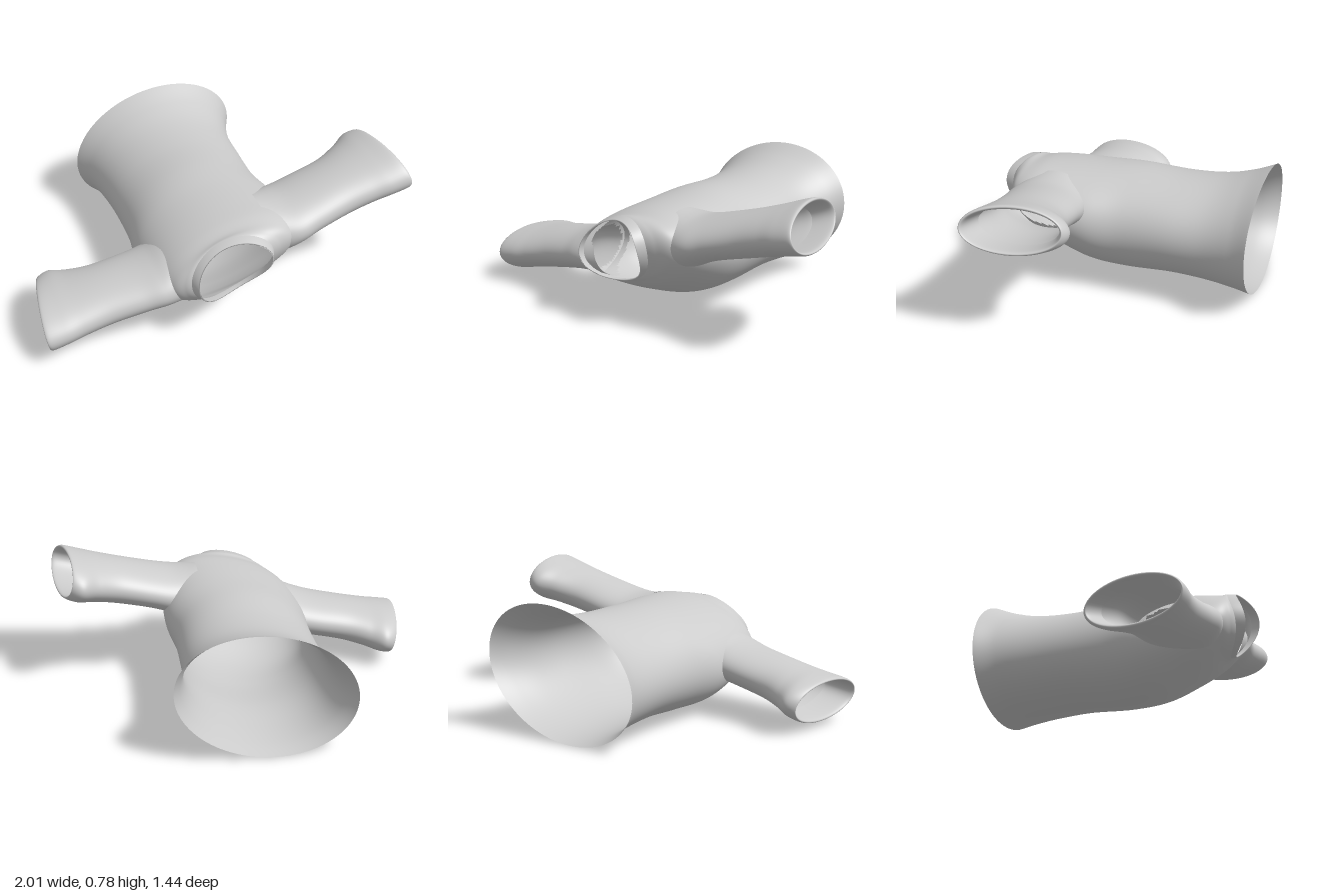
import * as THREE from 'three';

const material = new THREE.MeshStandardMaterial({ color: 0xcccccc, side: THREE.DoubleSide });

// Smoothly interpolates a table of section parameters (Catmull-Rom per column)
function sampleRows(rows, steps) {
  const out = [];
  const at = i => rows[Math.max(0, Math.min(rows.length - 1, i))];
  for (let i = 0; i < rows.length - 1; i++) {
    for (let k = 0; k < steps; k++) {
      const t = k / steps;
      out.push(rows[i].map((p1, c) => {
        const p0 = at(i - 1)[c], p2 = at(i + 1)[c], p3 = at(i + 2)[c];
        return p1 + 0.5 * t * (p2 - p0 + t * (2 * p0 - 5 * p1 + 4 * p2 - p3 + t * (3 * (p1 - p2) + p3 - p0)));
      }));
    }
  }
  out.push(rows[rows.length - 1]);
  return out;
}

// Skins closed rings; faces for which skip(centre) is true are left out
function loft(name, rings, point, sides, skip = () => false) {
  const pts = [], index = [];
  rings.forEach(r => {
    for (let j = 0; j < sides; j++) pts.push(point(r, (j / sides) * Math.PI * 2));
  });
  for (let i = 0; i < rings.length - 1; i++) {
    for (let j = 0; j < sides; j++) {
      const a = i * sides + j, b = i * sides + (j + 1) % sides, c = b + sides, d = a + sides;
      const mid = pts[a].clone().add(pts[c]).multiplyScalar(0.5);
      if (!skip(mid)) index.push(a, b, c, a, c, d);
    }
  }
  const geometry = new THREE.BufferGeometry().setFromPoints(pts);
  geometry.setIndex(index);
  geometry.computeVertexNormals();
  const mesh = new THREE.Mesh(geometry, material);
  mesh.name = name;
  return mesh;
}

// Rolled oval facing z, narrower below by taper: [cx, cy, cz, a, b, roll, saddle, lean, taper]
function bodyPoint([cx, cy, cz, a, b, roll, saddle, lean, taper], t) {
  const u = a * Math.cos(t) * (1 + taper * Math.sin(t)), v = b * Math.sin(t);
  const c = Math.cos(roll), s = Math.sin(roll);
  return new THREE.Vector3(cx + u * c - v * s, cy + u * s + v * c,
    cz + saddle * Math.cos(t) ** 2 + lean * Math.sin(t));
}

// Torso sections from the flared hem to the neckline
const torsoRings = sampleRows([
  [0.01, 0.358, -0.712, 0.482, 0.345, 0.26, 0.012, -0.008, 0],
  [0.01, 0.342, -0.60, 0.435, 0.312, 0.24, 0, 0, 0],
  [0.005, 0.330, -0.45, 0.402, 0.286, 0.24, 0, 0, 0],
  [0.005, 0.329, -0.25, 0.390, 0.275, 0.24, 0, 0, 0],
  [0, 0.327, 0, 0.388, 0.286, 0.25, 0, 0, 0],
  [0, 0.333, 0.20, 0.415, 0.274, 0.27, 0, 0, 0],
  [0, 0.365, 0.38, 0.410, 0.238, 0.27, 0, 0, 0],
  [0, 0.390, 0.49, 0.390, 0.207, 0.28, 0.02, 0, 0],
  [-0.01, 0.405, 0.56, 0.335, 0.178, 0.30, 0.05, 0.005, 0.03],
  [-0.025, 0.410, 0.59, 0.265, 0.172, 0.35, 0.062, 0.010, 0.08],
  [-0.03, 0.410, 0.60, 0.225, 0.168, 0.40, 0.07, 0.012, 0.12],
], 10);

// True well inside the torso, where a sleeve has no wall
function insideTorso(p) {
  const [cx, cy, , a, b, roll] = torsoRings.reduce((best, r) =>
    Math.abs(r[2] - p.z) < Math.abs(best[2] - p.z) ? r : best);
  const c = Math.cos(roll), s = Math.sin(roll), dx = p.x - cx, dy = p.y - cy;
  return ((dx * c + dy * s) / a) ** 2 + ((dy * c - dx * s) / b) ** 2 < 0.82;
}

// Sleeve sections: [x, height above root, cz, half depth, half thickness, skew]
const sleeveRows = [
  [0.24, -0.040, 0.40, 0.20, 0.155, 0],
  [0.31, -0.026, 0.405, 0.215, 0.135, 0],
  [0.38, -0.006, 0.405, 0.220, 0.119, 0],
  [0.48, 0.024, 0.395, 0.213, 0.113, 0],
  [0.65, 0.071, 0.380, 0.208, 0.115, 0],
  [0.78, 0.109, 0.358, 0.232, 0.118, 0.01],
  [0.87, 0.135, 0.338, 0.262, 0.123, 0.02],
  [0.945, 0.158, 0.345, 0.255, 0.124, 0.038],
  [0.938, 0.155, 0.345, 0.238, 0.105, 0.038],
  [0.82, 0.120, 0.355, 0.212, 0.095, 0.01],
];
const arms = [
  { name: 'leftSleeve', side: 1, root: 0.51, rise: 1 },
  { name: 'rightSleeve', side: -1, root: 0.285, rise: -0.8 },
];

function makeSleeve({ name, side, root, rise }) {
  const slope = Math.atan(0.29 * rise);
  const point = ([x, h, cz, a, b, skew], t) => {
    const v = -side * b * Math.sin(t);
    return new THREE.Vector3(
      side * (x + skew * Math.cos(t) - v * Math.sin(slope)),
      root + h * rise + v * Math.cos(slope),
      cz + a * Math.cos(t));
  };
  return loft(name, sampleRows(sleeveRows, 8), point, 64, insideTorso);
}

// True inside an armhole, where the torso wall is open
function inArmhole(p) {
  return arms.some(({ side, root, rise }) => {
    const x = side * p.x;
    const y = root + (x - 0.4) * 0.29 * rise;
    return x > 0.27 && ((p.z - 0.405) / 0.2) ** 2 + ((p.y - y) / 0.112) ** 2 < 1;
  });
}

export function createModel() {
  const group = new THREE.Group();
  group.name = 'shirt';

  group.add(loft('torso', torsoRings, bodyPoint, 128, inArmhole));

  // Collar band standing around the neckline
  const collarRows = [
    [-0.03, 0.410, 0.595, 0.228, 0.171, 0.40, 0.075, 0.012, 0.12],
    [-0.03, 0.408, 0.632, 0.208, 0.166, 0.40, 0.085, 0.022, 0.14],
    [-0.03, 0.408, 0.632, 0.202, 0.160, 0.40, 0.085, 0.022, 0.14],
    [-0.03, 0.410, 0.595, 0.221, 0.164, 0.40, 0.075, 0.012, 0.12],
  ];
  group.add(loft('collar', collarRows, bodyPoint, 64));

  // Sleeves with turned-in cuffs
  arms.forEach(arm => group.add(makeSleeve(arm)));

  return group;
}
